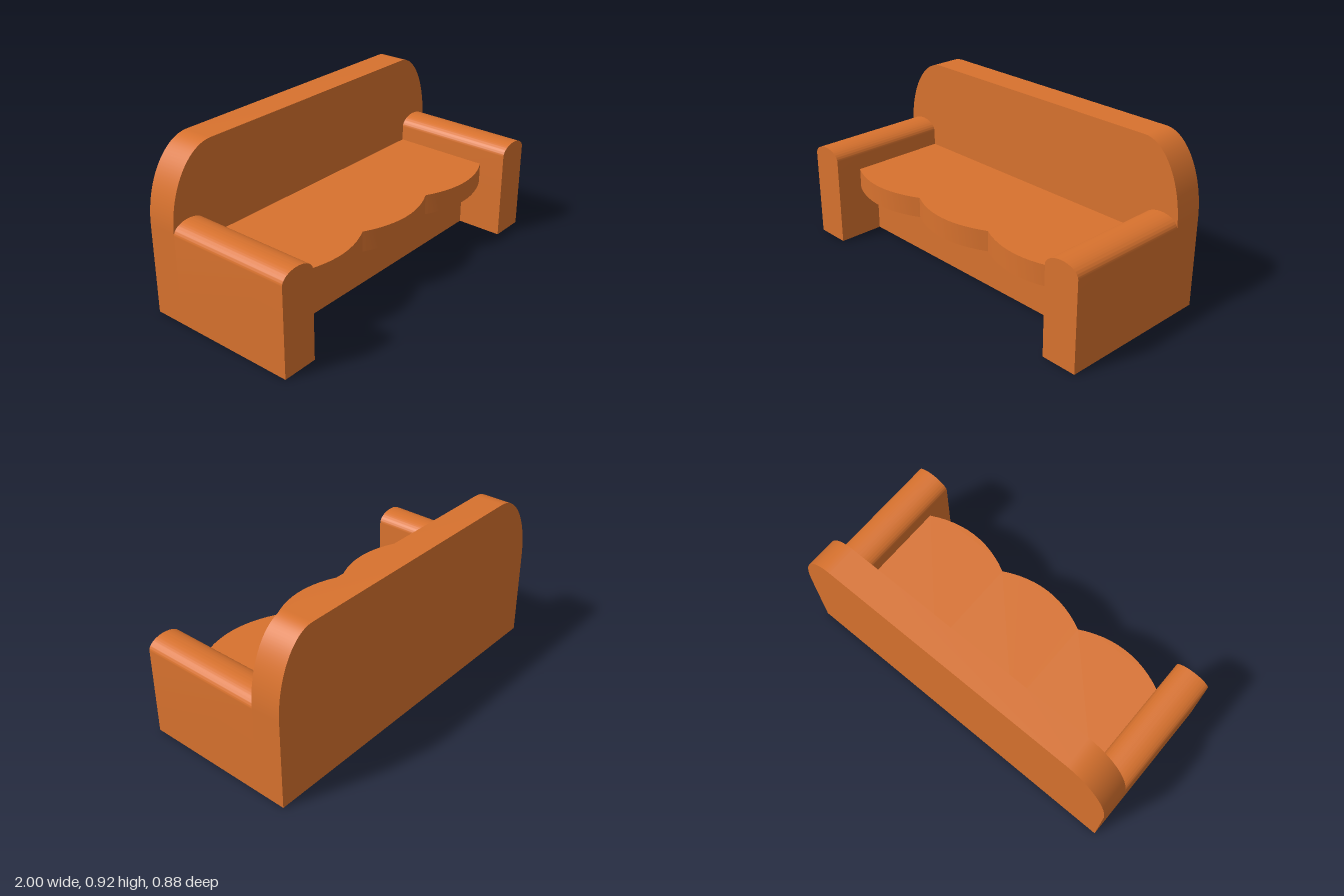
import * as THREE from 'three';
import { toCreasedNormals } from 'three/addons/utils/BufferGeometryUtils.js';

const fabric = new THREE.MeshStandardMaterial({ color: 0xd8722e });
fabric.name = 'orange fabric';

const BACK_Z = -0.44, BACK_FRONT_Z = -0.27;

function extrude(shape, depth, curveSegments) {
  const geometry = new THREE.ExtrudeGeometry(shape, { depth, bevelEnabled: false, curveSegments });
  return toCreasedNormals(geometry, Math.PI / 6);
}

export function createModel() {
  const sofa = new THREE.Group();
  sofa.name = 'sofa';

  function add(name, geometry, x = 0, y = 0, z = 0) {
    const mesh = new THREE.Mesh(geometry, fabric);
    mesh.name = name;
    mesh.position.set(x, y, z);
    sofa.add(mesh);
  }

  // Tall backrest with sweeping elliptical shoulders
  const back = new THREE.Shape();
  back.moveTo(-1, 0);
  back.lineTo(1, 0);
  back.lineTo(1, 0.5);
  back.absellipse(0.77, 0.5, 0.23, 0.42, 0, Math.PI / 2, false);
  back.lineTo(-0.73, 0.92);
  back.absellipse(-0.73, 0.5, 0.27, 0.42, Math.PI / 2, Math.PI, false);
  back.closePath();
  add('backrest', extrude(back, BACK_FRONT_Z - BACK_Z, 14), 0, 0, BACK_Z);

  // Armrests with softly rounded tops
  const arm = new THREE.Shape();
  arm.moveTo(-0.1, 0);
  arm.lineTo(0.1, 0);
  arm.lineTo(0.1, 0.495);
  arm.absellipse(0, 0.495, 0.1, 0.06, 0, Math.PI, false);
  arm.closePath();
  for (const [side, name] of [[1, 'leftArm'], [-1, 'rightArm']]) {
    add(name, extrude(arm, 0.71, 24), side * 0.9, 0, BACK_FRONT_Z);
  }

  // Recessed base under the seat
  add('base', new THREE.BoxGeometry(1.6, 0.295, 0.445), 0, 0.1475, -0.0475);

  // Three seat cushions with bowed fronts, overhanging the base
  const half = 0.8 / 3;
  const cushion = new THREE.Shape();
  cushion.moveTo(-half, BACK_FRONT_Z);
  cushion.lineTo(half, BACK_FRONT_Z);
  cushion.lineTo(half, 0.29);
  cushion.quadraticCurveTo(0, 0.43, -half, 0.29);
  cushion.closePath();
  const cushionGeometry = extrude(cushion, 0.115, 12).rotateX(Math.PI / 2);
  ['rightCushion', 'middleCushion', 'leftCushion'].forEach((name, i) => {
    add(name, cushionGeometry, (i - 1) * 2 * half, 0.41, 0);
  });

  return sofa;
}
